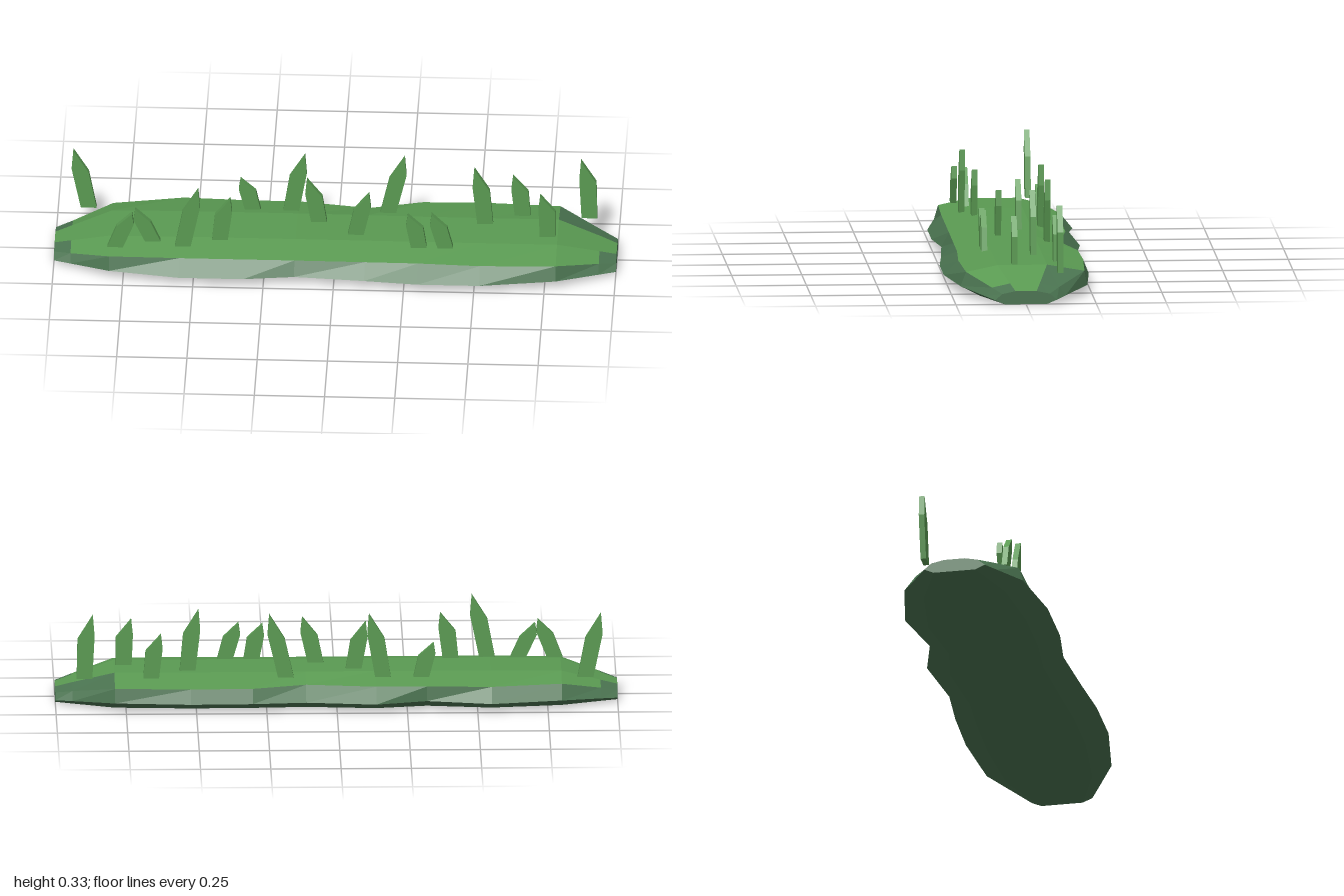
import * as THREE from 'three';

const grassGreen = new THREE.MeshStandardMaterial({ color: 0x5a9a52 });
grassGreen.name = 'grass green';
const mossGreen = new THREE.MeshStandardMaterial({ color: 0x4a7350 });
mossGreen.name = 'dark moss green';

// Stations along the mound: x, height scale, front edge, front rim, back rim, back edge
const stations = [
  [-1, 0.42, 0.11, 0.085, 0.085, 0.11],
  [-0.94, 0.59, 0.14, 0.12, 0.11, 0.142],
  [-0.8, 0.98, 0.21, 0.195, 0.18, 0.22],
  [-0.55, 1, 0.25, 0.2, 0.225, 0.267],
  [-0.32, 1, 0.25, 0.2, 0.215, 0.222],
  [-0.14, 1, 0.227, 0.2, 0.215, 0.267],
  [0.11, 0.99, 0.245, 0.2, 0.18, 0.235],
  [0.3, 0.98, 0.262, 0.2, 0.23, 0.25],
  [0.52, 0.98, 0.262, 0.21, 0.235, 0.255],
  [0.79, 0.98, 0.22, 0.2, 0.222, 0.232],
  [0.94, 0.59, 0.142, 0.118, 0.122, 0.145],
  [1, 0.42, 0.11, 0.085, 0.085, 0.11],
];

// Eight-sided cross-section, from the front foot over the crown to the back foot
function section([x, s, front, rimF, rimB, back]) {
  return [
    [x, 0, front * 0.68], [x, 0.036 * s, front], [x, 0.088 * s, rimF], [x, 0.112 * s, 0.09 * s],
    [x, 0.112 * s, -0.09 * s], [x, 0.088 * s, -rimB], [x, 0.036 * s, -back], [x, 0, -back * 0.68],
  ];
}

function facetedMesh(name, points, material) {
  const geometry = new THREE.BufferGeometry();
  geometry.setAttribute('position', new THREE.Float32BufferAttribute(points.flat(), 3));
  geometry.computeVertexNormals();
  const mesh = new THREE.Mesh(geometry, material);
  mesh.name = name;
  return mesh;
}

// Low mound: grass on the upper facets, darker sides and underside
function createMound() {
  const rings = stations.map(section);
  const grass = [];
  const earth = [];
  const last = rings.length - 2;
  for (let i = 0; i <= last; i++) {
    for (let j = 0; j < 8; j++) {
      const k = (j + 1) % 8;
      const a = rings[i][j], b = rings[i + 1][j], c = rings[i + 1][k], d = rings[i][k];
      const crown = j === 3;
      const shoulder = (j === 2 || j === 4) && i > 0 && i < last && !(j === 4 && i === last - 1);
      (crown || shoulder ? grass : earth).push(a, b, c, a, c, d);
    }
  }
  // Flat end caps
  const start = rings[0], end = rings[rings.length - 1];
  for (let j = 1; j < 7; j++) {
    earth.push(start[0], start[j], start[j + 1]);
    earth.push(end[0], end[j + 1], end[j]);
  }
  const mound = new THREE.Group();
  mound.name = 'mound';
  mound.add(facetedMesh('grassTop', grass, grassGreen), facetedMesh('moundBase', earth, mossGreen));
  return mound;
}

// Blades: base x, z, lean of the tip, tip height
const blades = [
  [-0.885, -0.13, -0.055, 0.333], [-0.78, 0.143, 0.06, 0.238], [-0.645, 0.107, -0.065, 0.235],
  [-0.54, 0.13, 0.055, 0.333], [-0.41, 0.093, 0.038, 0.277], [-0.3, -0.131, -0.045, 0.228],
  [-0.165, -0.127, 0.05, 0.333], [-0.06, -0.043, -0.045, 0.283], [0.07, 0.04, 0.05, 0.278],
  [0.18, -0.127, 0.06, 0.333], [0.3, 0.11, -0.04, 0.235], [0.395, 0.11, -0.05, 0.24],
  [0.53, -0.056, -0.04, 0.333], [0.66, -0.128, -0.035, 0.262], [0.755, 0.026, -0.027, 0.277],
  [0.897, -0.128, -0.03, 0.333],
];

// Leaning leaf outline with a slanted point, given a small thickness
function createBlade([x, z, lean, tip]) {
  const foot = 0.1, h = tip - foot, side = Math.sign(lean), reach = Math.abs(lean);
  const outline = [
    [-0.028, 0], [0.028, 0], [reach + 0.006, h * 0.68], [reach, h], [reach - 0.055, h * 0.62],
  ];
  const shape = new THREE.Shape(outline.map(([px, py]) => new THREE.Vector2(px * side, py)));
  const geometry = new THREE.ExtrudeGeometry(shape, { depth: 0.02, bevelEnabled: false });
  const mesh = new THREE.Mesh(geometry, grassGreen);
  mesh.position.set(x, foot, z - 0.01);
  mesh.name = 'grassBlade';
  return mesh;
}

export function createModel() {
  const model = new THREE.Group();
  model.name = 'grassPatch';
  model.add(createMound(), ...blades.map(createBlade));
  return model;
}
